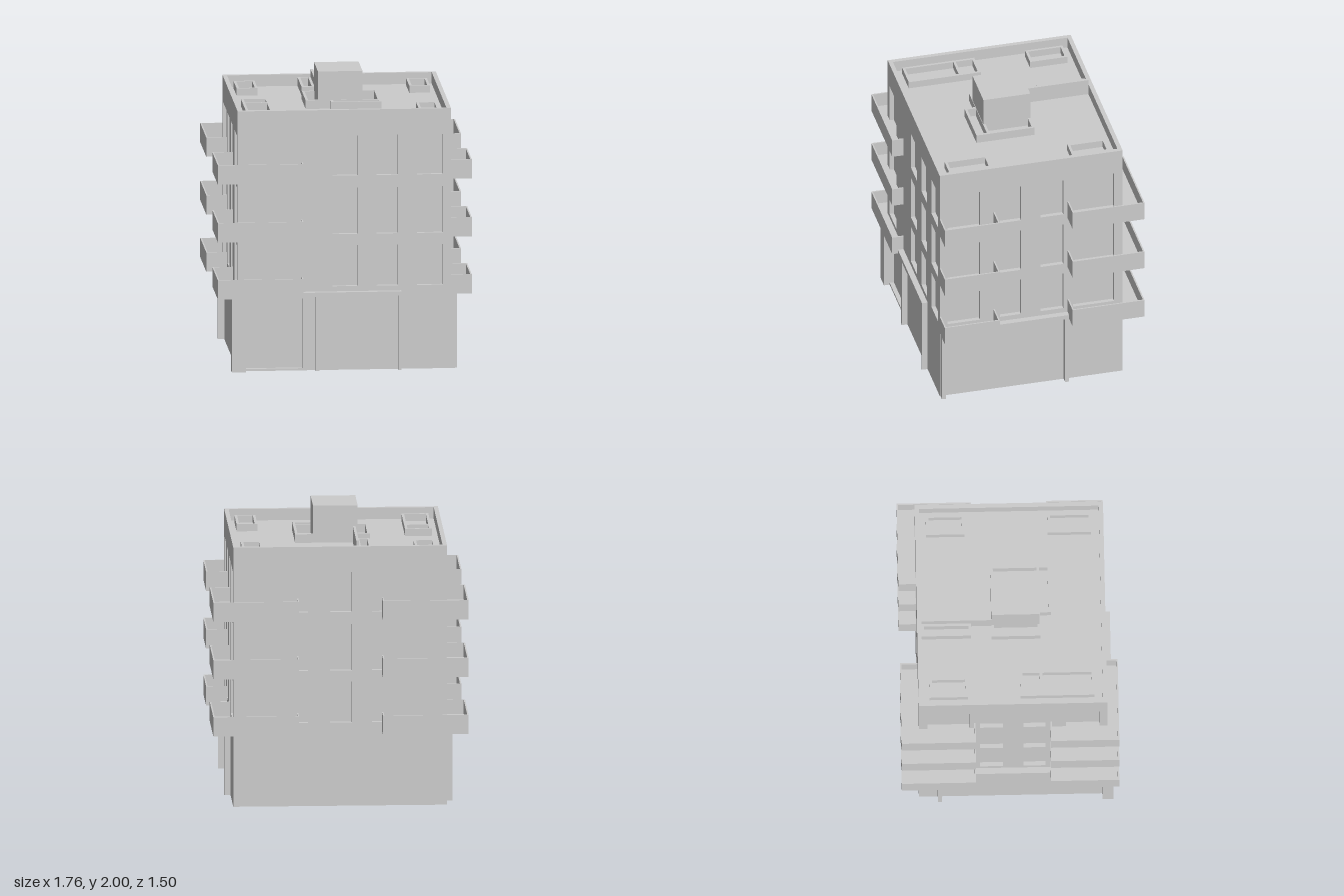
import * as THREE from 'three';

const mat = new THREE.MeshStandardMaterial({ color: 0xcccccc, flatShading: true, side: THREE.DoubleSide });
const X = 0.735, ZB = -0.63, ZF = 0.665, TOP = 1.82, ROOF = 1.74, WALL = 0.03;
const FLOORS = [0.52, 0.92, 1.325];
const WINDOW_ROWS = [[0.585, 0.87], [0.95, 1.275], [1.36, 1.64]];

// Box given by its limits on each axis
function box(parent, name, x0, x1, y0, y1, z0, z1) {
  const mesh = new THREE.Mesh(new THREE.BoxGeometry(x1 - x0, y1 - y0, z1 - z0), mat);
  mesh.position.set((x0 + x1) / 2, (y0 + y1) / 2, (z0 + z1) / 2);
  mesh.name = name;
  parent.add(mesh);
  return mesh;
}

function rectPath(Type, u0, u1, v0, v1) {
  return new Type([[u0, v0], [u1, v0], [u1, v1], [u0, v1]].map(([u, v]) => new THREE.Vector2(u, v)));
}

// Wall panel with window recesses; its top forms the parapet
function facade(name, u0, u1, columns, extraHoles = []) {
  const shape = rectPath(THREE.Shape, u0, u1, 0, TOP);
  for (const [a, b] of columns)
    for (const [y0, y1] of WINDOW_ROWS) shape.holes.push(rectPath(THREE.Path, a, b, y0, y1));
  for (const h of extraHoles) shape.holes.push(rectPath(THREE.Path, ...h));
  const mesh = new THREE.Mesh(new THREE.ExtrudeGeometry(shape, { depth: WALL, bevelEnabled: false }), mat);
  mesh.name = name;
  return mesh;
}

// Low rectangular curb, open in the middle
function curb(parent, name, x0, x1, z0, z1, h = 0.05, t = 0.018) {
  const g = new THREE.Group();
  g.name = name;
  for (const [a, b] of [[x0, x0 + t], [x1 - t, x1]]) box(g, 'curbSide', a, b, ROOF, ROOF + h, z0, z1);
  for (const [a, b] of [[z0, z0 + t], [z1 - t, z1]]) box(g, 'curbEnd', x0 + t, x1 - t, ROOF, ROOF + h, a, b);
  parent.add(g);
}

// Balcony wrapping a corner, or only along the side when wraps is false
function balcony(sx, sz, y, wraps) {
  const g = new THREE.Group();
  g.name = 'balcony';
  const t = 0.01, slabTop = y + 0.035, railTop = y + 0.135;
  const face = sz > 0 ? ZF : ZB;
  const outZ = wraps ? (sz > 0 ? 0.745 : -0.75) : face;
  const endZ = sz > 0 ? 0.275 : -0.24;
  const outX = 0.878, endX = 0.288;
  const part = (name, xa, xb, ya, yb, za, zb) => {
    const xs = [xa * sx, xb * sx].sort((a, b) => a - b), zs = [za, zb].sort((a, b) => a - b);
    box(g, name, xs[0], xs[1], ya, yb, zs[0], zs[1]);
  };
  part('sideSlab', X, outX, y, slabTop, endZ, outZ);
  part('sideRail', outX - t, outX, slabTop, railTop, endZ, outZ);
  part('sideEndRail', X, outX, slabTop, railTop, endZ, endZ + sz * t);
  if (wraps) {
    part('faceSlab', endX, X, y, slabTop, face, outZ);
    part('faceRail', endX, outX, slabTop, railTop, outZ - sz * t, outZ);
    part('faceEndRail', endX, endX + t, slabTop, railTop, face, outZ);
  } else {
    part('cornerRail', X, outX, slabTop, railTop, outZ - sz * t, outZ);
  }
  return g;
}

export function createModel() {
  const model = new THREE.Group();
  model.name = 'apartmentBuilding';

  // Solid core, its top being the roof deck
  box(model, 'core', -X + WALL, X - WALL, 0, ROOF, ZB + WALL, ZF - WALL);

  // Four facades
  const front = facade('frontFacade', -X, X,
    [[-0.68, -0.49], [-0.08, 0.09], [0.22, 0.37], [0.5, 0.68]],
    [[-0.68, -0.29, 0.015, 0.515]]);
  front.position.z = ZF - WALL;
  const back = facade('backFacade', -X, X,
    [[-0.67, -0.5], [-0.37, -0.22], [-0.08, 0.07], [0.22, 0.37], [0.51, 0.67]]);
  back.position.z = ZB;
  model.add(front, back);
  for (const s of [1, -1]) {
    const side = facade(s > 0 ? 'leftFacade' : 'rightFacade', ZB + WALL, ZF - WALL,
      [[-0.57, -0.28], [-0.21, -0.05], [0.09, 0.24], [0.38, 0.61]]);
    side.rotation.y = -Math.PI / 2;
    side.position.x = s > 0 ? X : -X + WALL;
    model.add(side);
  }

  // Ground floor frames: lintels and posts
  const frame = new THREE.Group();
  frame.name = 'groundFloorFrame';
  model.add(frame);
  const L0 = 0.52, L1 = 0.55, F = 0.705, S = 0.778;
  box(frame, 'frontLintel', -S, 0.392, L0, L1, ZF, F);
  for (const [a, b] of [[-S, -0.68], [-0.2, -0.175], [0.372, 0.392]])
    box(frame, 'frontPost', a, b, 0, L0, ZF, F);
  box(frame, 'leftLintel', X, S, L0, L1, -0.24, 0.66);
  for (const [a, b] of [[-0.24, -0.212], [0.63, 0.66]]) box(frame, 'leftPost', X, S, 0, L0, a, b);
  box(frame, 'rightLintel', -S, -X, L0, L1, -0.5, ZF);
  for (const [a, b] of [[-0.5, -0.47], [0.63, ZF]]) box(frame, 'rightPost', -S, -X, 0, L0, a, b);

  // Balconies at all four corners on each floor
  for (const y of FLOORS)
    for (const [sx, sz, wraps] of [[-1, 1, true], [-1, -1, true], [1, -1, true], [1, 1, false]])
      model.add(balcony(sx, sz, y, wraps));

  // Roof: stair tower, its curbs, dividing wall and planters
  const roof = new THREE.Group();
  roof.name = 'roofFittings';
  model.add(roof);
  box(roof, 'stairTower', -0.145, 0.162, ROOF, 2, -0.12, 0.212);
  curb(roof, 'towerCurb', -0.23, 0.285, -0.12, 0.215, 0.06);
  curb(roof, 'towerFrontCurb', -0.06, 0.285, 0.197, 0.292, 0.06);
  box(roof, 'dividingWall', -0.13, -0.112, ROOF, 1.855, ZB + WALL, -0.12);
  curb(roof, 'longPlanter', -0.22, -0.13, -0.6, -0.26, 0.06);
  for (const p of [[-0.665, -0.52, -0.555, -0.29], [0.525, 0.668, -0.555, -0.29],
    [0.525, 0.668, 0.28, 0.58], [-0.665, -0.48, 0.07, 0.58]]) curb(roof, 'planter', ...p);
  box(roof, 'planterDivider', -0.647, -0.498, ROOF, ROOF + 0.05, 0.205, 0.223);

  return model;
}
